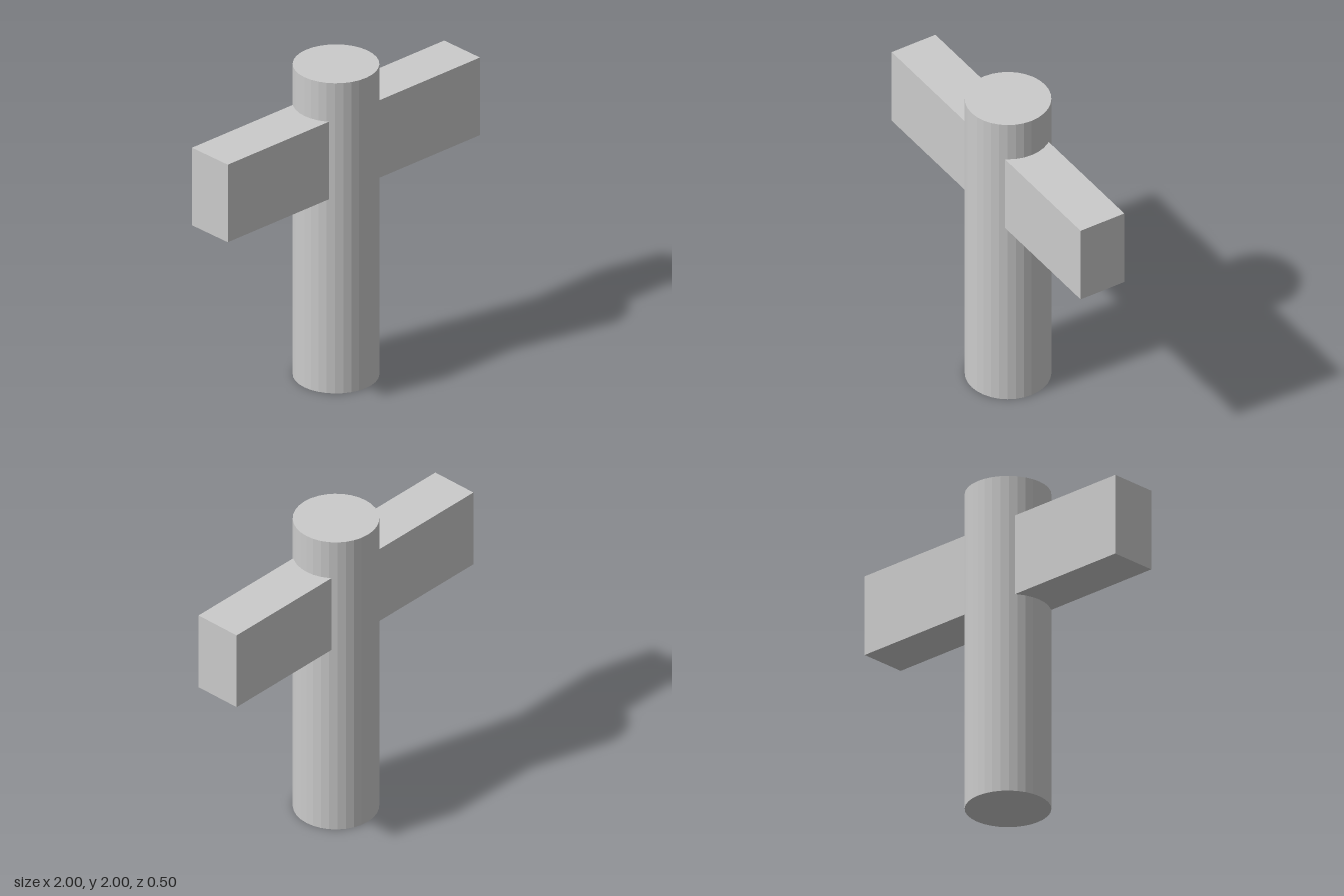
import * as THREE from 'three';

export function createModel() {
  const group = new THREE.Group();
  const material = new THREE.MeshStandardMaterial({ color: 0xcccccc, flatShading: true });

  // Upright faceted post
  const post = new THREE.Mesh(new THREE.CylinderGeometry(0.25, 0.25, 2, 32), material);
  post.name = 'post';
  post.position.y = 1;
  group.add(post);

  // Rectangular crossbar passing through the post
  const crossbar = new THREE.Mesh(new THREE.BoxGeometry(2, 0.5, 0.3), material);
  crossbar.name = 'crossbar';
  crossbar.position.y = 1.5;
  group.add(crossbar);

  return group;
}
